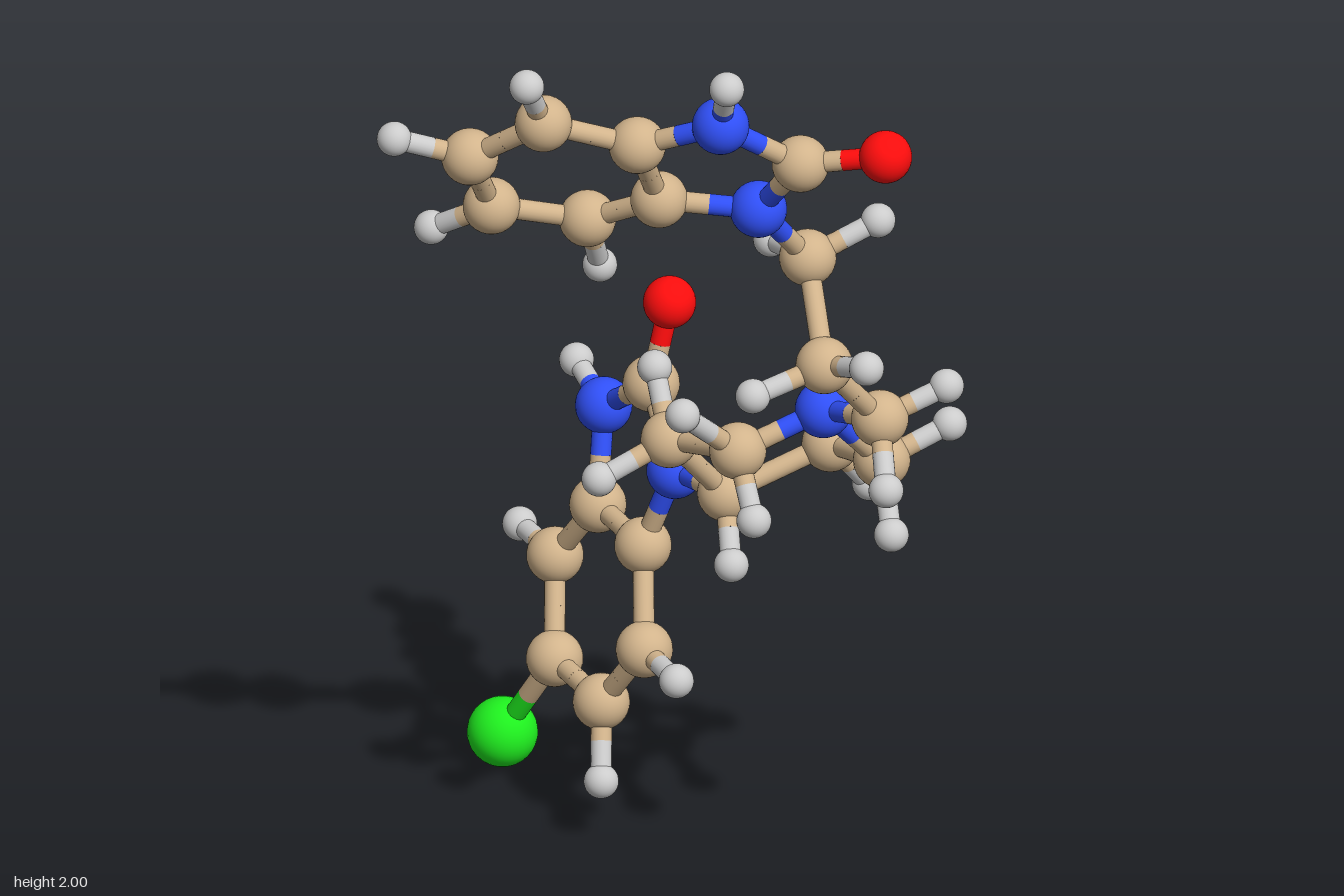
import * as THREE from 'three';

// Element styles: ball radius and colour
const ELEMENTS = {
  C: { name: 'carbon', radius: 0.054, color: 0xd2b48c },
  H: { name: 'hydrogen', radius: 0.033, color: 0xd9d9d9 },
  N: { name: 'nitrogen', radius: 0.054, color: 0x3050f8 },
  O: { name: 'oxygen', radius: 0.05, color: 0xff0d0d },
  Cl: { name: 'chlorine', radius: 0.067, color: 0x1ff01f },
};
const BOND_RADIUS = 0.02;

// Atom centres, grouped by the fragment they belong to
const FRAGMENTS = {
  lowerFusedRings: [
    ['Cl', -0.57, 0.07, -0.2], ['O', -0.3, 1.02, -0.385], ['C', -0.305, 0.86, -0.345],
    ['N', -0.46, 0.75, -0.355], ['H', -0.585, 0.785, -0.39], ['N', -0.165, 0.75, -0.29],
    ['C', -0.415, 0.575, -0.305], ['C', -0.23, 0.575, -0.265],
    ['C', -0.525, 0.43, -0.29], ['H', -0.668, 0.43, -0.32],
    ['C', -0.145, 0.41, -0.2], ['H', -0.005, 0.41, -0.165],
    ['C', -0.445, 0.265, -0.225], ['C', -0.255, 0.262, -0.185], ['H', -0.193, 0.135, -0.135],
  ],
  middleRing: [
    ['C', 0.022, 0.785, -0.262], ['H', 0.1, 0.68, -0.213],
    ['C', 0.107, 0.865, -0.445], ['H', 0.112, 0.755, -0.535], ['H', 0.033, 0.975, -0.5],
    ['C', 0.305, 0.92, -0.41], ['H', 0.353, 0.975, -0.535], ['H', 0.39, 0.81, -0.365],
    ['N', 0.305, 1.07, -0.27],
    ['C', 0.235, 1.003, -0.12], ['H', 0.23, 1.115, 0.008], ['H', 0.315, 0.895, -0.095],
    ['C', 0.036, 0.95, -0.115], ['H', -0.01, 0.89, 0.017], ['H', -0.045, 1.06, -0.145],
  ],
  linkingChain: [
    ['C', 0.493, 1.13, -0.255], ['H', 0.58, 1.03, -0.2], ['H', 0.543, 1.18, -0.375],
    ['C', 0.507, 1.293, -0.11], ['H', 0.64, 1.34, -0.105], ['H', 0.465, 1.255, 0.028],
    ['C', 0.38, 1.45, -0.172], ['H', 0.24, 1.425, -0.195], ['H', 0.435, 1.51, -0.297],
  ],
  upperFusedRings: [
    ['N', 0.397, 1.6, -0.04], ['C', 0.523, 1.745, -0.04], ['O', 0.647, 1.775, -0.145],
    ['N', 0.477, 1.855, 0.115], ['H', 0.543, 1.97, 0.153],
    ['C', 0.333, 1.785, 0.2], ['C', 0.28, 1.62, 0.105],
    ['C', 0.245, 1.845, 0.355], ['H', 0.285, 1.96, 0.427],
    ['C', 0.097, 1.735, 0.413], ['H', 0.02, 1.78, 0.533],
    ['C', 0.042, 1.58, 0.317], ['H', -0.075, 1.505, 0.368],
    ['C', 0.134, 1.54, 0.16], ['H', 0.09, 1.405, 0.095],
  ],
};

const UP = new THREE.Vector3(0, 1, 0);

// A rod from one point to another
function rod(from, to, material, name) {
  const dir = to.clone().sub(from);
  const mesh = new THREE.Mesh(
    new THREE.CylinderGeometry(BOND_RADIUS, BOND_RADIUS, dir.length(), 20, 1, true), material);
  mesh.position.copy(from).add(to).multiplyScalar(0.5);
  mesh.quaternion.setFromUnitVectors(UP, dir.normalize());
  mesh.name = name;
  return mesh;
}

export function createModel() {
  const model = new THREE.Group();
  model.name = 'ballAndStickMolecule';
  const materials = {}, balls = {};
  for (const [key, e] of Object.entries(ELEMENTS)) {
    materials[key] = new THREE.MeshStandardMaterial({ color: e.color });
    balls[key] = new THREE.SphereGeometry(e.radius, 32, 20);
  }

  // Atoms
  const atoms = [];
  for (const [fragment, list] of Object.entries(FRAGMENTS)) {
    const group = new THREE.Group();
    group.name = fragment;
    model.add(group);
    for (const [element, x, y, z] of list) {
      const ball = new THREE.Mesh(balls[element], materials[element]);
      ball.name = ELEMENTS[element].name + 'Atom';
      ball.position.set(x, y, z);
      group.add(ball);
      atoms.push({ element, position: ball.position });
    }
  }

  // Bonds join close neighbours; each half takes the colour of its own atom
  const bonds = new THREE.Group();
  bonds.name = 'bonds';
  model.add(bonds);
  atoms.forEach((a, i) => {
    for (const b of atoms.slice(i + 1)) {
      const reach = a.element === 'H' || b.element === 'H' ? 0.19 : 0.26;
      if (a.position.distanceTo(b.position) > reach) continue;
      const middle = a.position.clone().lerp(b.position, 0.5);
      for (const end of [a, b]) {
        bonds.add(rod(end.position, middle, materials[end.element], ELEMENTS[end.element].name + 'BondHalf'));
      }
    }
  });
  return model;
}
